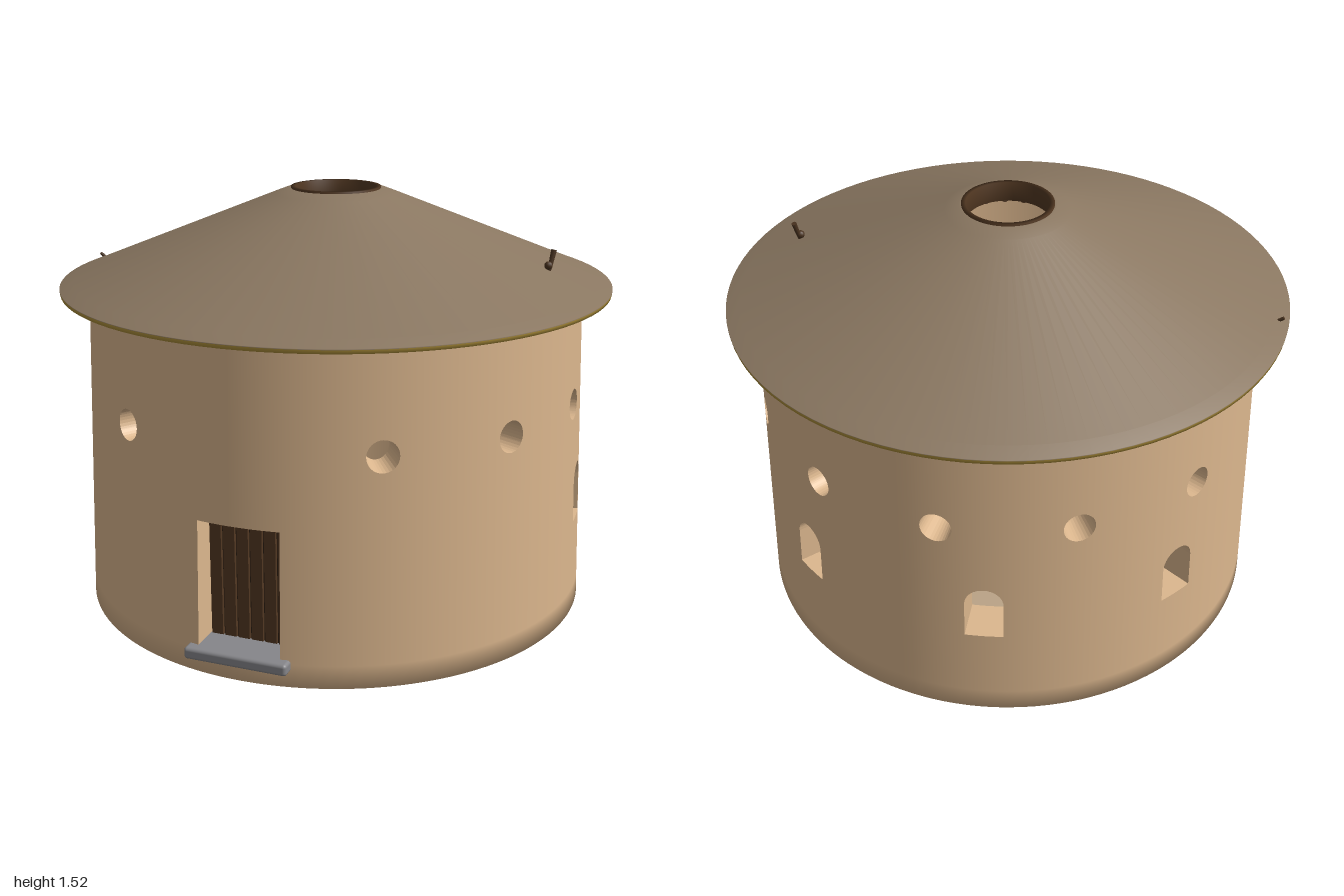
import * as THREE from 'three';
import { RoundedBoxGeometry } from 'three/addons/geometries/RoundedBoxGeometry.js';

const mat = (name, color, side = THREE.FrontSide) => {
  const m = new THREE.MeshStandardMaterial({ color, side });
  m.name = name;
  return m;
};
const D = Math.PI / 180;
const V = (x, y, z) => new THREE.Vector3(x, y, z);

// Wall measurements and openings (a: angle from the front towards +x, h: half angle)
const Y0 = 0.01, Y1 = 1.185;
const outerR = (y) => 0.93 - 0.036 * (y - Y0) / (Y1 - Y0);
const innerR = 0.775;
const arc = (t) => Math.sqrt(Math.max(0, 1 - t * t));
const door = { a: 0, h: 0.148 / 0.925, lo: () => 0.1, hi: () => 0.55 };
const openings = [door];
for (const a of [30, 60, 88, 120, 150, 180, 210, 240, 290, 330])
  openings.push({ a: a * D, h: 0.055 / 0.91, lo: (t) => 0.805 - 0.055 * arc(t), hi: (t) => 0.805 + 0.055 * arc(t) });
for (const a of [94, 145, 190, 235])
  openings.push({ a: a * D, h: 0.067 / 0.92, lo: () => 0.352, hi: (t) => 0.492 + 0.067 * arc(t) });

// Round wall made of narrow columns, each cut where an opening crosses it
function wallGeometry() {
  const pos = [], nor = [];
  const outer = (a, y) => V(Math.sin(a) * outerR(y), y, Math.cos(a) * outerR(y));
  const inner = (a, y) => {
    const b = Math.abs(a) <= door.h + 1e-6 ? Math.asin(Math.sin(a) * 0.925 / innerR) : a; // square door jambs
    return V(Math.sin(b) * innerR, y, Math.cos(b) * innerR);
  };
  const quad = (p, normalAt) => {
    const flat = p[1].clone().sub(p[0]).cross(p[2].clone().sub(p[0]));
    const other = p[2].clone().sub(p[0]).cross(p[3].clone().sub(p[0]));
    flat.add(other).normalize();
    for (const i of [0, 1, 2, 0, 2, 3]) {
      pos.push(...p[i].toArray());
      nor.push(...(normalAt ? normalAt(p[i]) : flat).toArray());
    }
  };
  const radial = (s) => (p) => V(s * p.x, 0, s * p.z).normalize();
  const outNormal = (p) => {
    const n = radial(1)(p);
    if (p.y < Y0 + 1e-4) n.y = -0.8; // soft foot
    return n.normalize();
  };
  const footNormal = (p) => {
    const n = radial(Math.hypot(p.x, p.z) > 0.85 ? 1 : -1)(p);
    n.y = -0.9;
    return n.normalize();
  };

  let angles = [];
  for (let i = -6; i <= 114; i++) angles.push(i * 3 * D);
  for (const o of openings)
    for (let k = 0; k <= 16; k++) angles.push(o.a - o.h * Math.cos(k * Math.PI / 16));
  angles = angles.sort((a, b) => a - b).filter((a, i, all) => i === 0 || a - all[i - 1] > 1e-5);

  for (let i = 0; i < angles.length - 1; i++) {
    const a = angles[i], b = angles[i + 1], mid = (a + b) / 2;
    const cuts = openings.filter((o) => Math.abs(mid - o.a) < o.h).map((o) => {
      const t0 = (a - o.a) / o.h, t1 = (b - o.a) / o.h;
      return { t0, t1, lo: [o.lo(t0), o.lo(t1)], hi: [o.hi(t0), o.hi(t1)] };
    }).sort((p, q) => p.lo[0] - q.lo[0]);

    // solid pieces between the openings
    const levels = [[Y0, Y0], [0.09, 0.09], [0.09, 0.09]];
    for (const c of cuts) levels.push(c.lo, c.hi);
    levels.push([Y1, Y1]);
    for (let k = 0; k < levels.length; k += 2) {
      const l = levels[k], h = levels[k + 1];
      quad([outer(a, l[0]), outer(b, l[1]), outer(b, h[1]), outer(a, h[0])], outNormal);
      quad([inner(b, l[1]), inner(a, l[0]), inner(a, h[0]), inner(b, h[1])], radial(-1));
    }
    quad([inner(a, Y0), inner(b, Y0), outer(b, Y0), outer(a, Y0)], footNormal);
    quad([outer(a, Y1), outer(b, Y1), inner(b, Y1), inner(a, Y1)]);

    // reveals inside the openings
    for (const c of cuts) {
      quad([outer(a, c.lo[0]), outer(b, c.lo[1]), inner(b, c.lo[1]), inner(a, c.lo[0])]);
      quad([inner(a, c.hi[0]), inner(b, c.hi[1]), outer(b, c.hi[1]), outer(a, c.hi[0])]);
      if (c.t0 < -0.999 && c.hi[0] - c.lo[0] > 0.01)
        quad([outer(a, c.lo[0]), inner(a, c.lo[0]), inner(a, c.hi[0]), outer(a, c.hi[0])]);
      if (c.t1 > 0.999 && c.hi[1] - c.lo[1] > 0.01)
        quad([inner(b, c.lo[1]), outer(b, c.lo[1]), outer(b, c.hi[1]), inner(b, c.hi[1])]);
    }
  }
  const g = new THREE.BufferGeometry();
  g.setAttribute('position', new THREE.Float32BufferAttribute(pos, 3));
  g.setAttribute('normal', new THREE.Float32BufferAttribute(nor, 3));
  return g;
}

export function createModel() {
  const model = new THREE.Group();
  model.name = 'roundhouse';
  const clay = mat('clay', 0xdcb78e);
  const roofing = mat('roofing', 0x8a7761);
  const thatch = mat('thatch', 0xb8983f, THREE.DoubleSide);
  const wood = mat('darkWood', 0x4a3320);
  const plankWood = mat('plankWood', 0x523822);
  const gapWood = mat('gapWood', 0x2e2014);
  const stone = mat('stone', 0x86868a);
  const earth = mat('earth', 0xbaa386);
  const ochre = mat('ochreStone', 0xb2964e);

  const add = (name, geo, material, x = 0, y = 0, z = 0, parent = model) => {
    const m = new THREE.Mesh(geo, material);
    m.name = name;
    m.position.set(x, y, z);
    parent.add(m);
    return m;
  };
  const pole = (name, from, to, r0, r1 = r0, parent = model) => {
    const d = to.clone().sub(from);
    const m = add(name, new THREE.CylinderGeometry(r1, r0, d.length(), 10), wood, 0, 0, 0, parent);
    m.position.copy(from).addScaledVector(d, 0.5);
    m.quaternion.setFromUnitVectors(V(0, 1, 0), d.normalize());
    return m;
  };
  const lathe = (points) => new THREE.LatheGeometry(points.map(([x, y]) => new THREE.Vector2(x, y)), 96);

  add('wall', wallGeometry(), clay);
  add('floor', lathe([[0, 0.015], [0.78, 0.015], [0.78, 0.045], [0, 0.045]]), earth);

  // Roof with a thatched eave, dark ceiling and smoke hole
  add('roof', lathe([[1, 1.181], [1, 1.184], [0.95, 1.203], [0.22, 1.499], [0.17, 1.518], [0.155, 1.515]]), roofing);
  add('eaveThatch', lathe([[0.86, 1.215], [0.97, 1.177], [0.998, 1.168], [1, 1.181]]), thatch);
  add('ceiling', lathe([[0.152, 1.46], [0.86, 1.215]]), wood);
  add('smokeHoleRing', lathe([[0.162, 1.45], [0.162, 1.523], [0.146, 1.523], [0.146, 1.45], [0.162, 1.45]]), plankWood);

  const rafters = new THREE.Group();
  rafters.name = 'rafters';
  model.add(rafters);
  for (let i = 0; i < 20; i++) {
    const s = Math.sin(i * 18 * D), c = Math.cos(i * 18 * D);
    pole('rafter', V(0.945 * s, 1.17, 0.945 * c), V(0.22 * s, 1.42, 0.22 * c), 0.019, 0.014, rafters);
  }
  pole('tieBeam', V(-0.85, 1.14, 0), V(0.85, 1.14, 0), 0.022);

  // Pegs poking through the roof
  pole('roofPeg', V(0.785, 1.25, -0.005), V(0.798, 1.338, -0.028), 0.006, 0.01);
  add('pegKnob', new THREE.SphereGeometry(0.015, 10, 8), wood, 0.785, 1.285, -0.008);
  pole('eavePeg', V(-0.9, 1.15, 0.005), V(-0.98, 1.208, 0.005), 0.006);

  // Door of upright planks and its step
  const doorGroup = new THREE.Group();
  doorGroup.name = 'door';
  model.add(doorGroup);
  add('doorBacking', new THREE.BoxGeometry(0.3, 0.46, 0.02), gapWood, 0, 0.325, 0.795, doorGroup);
  for (let i = 0; i < 6; i++)
    add('plank', new THREE.BoxGeometry(0.041, 0.455, 0.02), plankWood, -0.123 + i * 0.0492, 0.325, 0.808, doorGroup);
  add('doorStep', new RoundedBoxGeometry(0.37, 0.042, 0.15, 3, 0.012), stone, -0.003, 0.085, 0.877);

  // Hearth below the smoke hole
  add('hearthSlab', new THREE.CylinderGeometry(0.24, 0.24, 0.02, 40), stone, 0, 0.053, 0);
  for (let i = 0; i < 10; i++) {
    const a = (i + 0.5) * 36 * D;
    const s = add('hearthStone', new THREE.SphereGeometry(0.028, 12, 8), i % 3 === 1 ? ochre : stone, 0.085 * Math.sin(a), 0.075, 0.085 * Math.cos(a));
    s.scale.y = 0.8;
  }
  const embers = add('hearthRing', new THREE.TorusGeometry(0.042, 0.009, 8, 24), ochre, 0, 0.075, 0);
  embers.rotation.x = Math.PI / 2;
  for (let i = 0; i < 3; i++) {
    const x = 0.05 * Math.cos(i * 60 * D), z = 0.05 * Math.sin(i * 60 * D), y = 0.075 + i * 0.01;
    pole('hearthLog', V(-x, y, -z), V(x, y, z), 0.009);
  }
  const hoop = add('potRing', new THREE.TorusGeometry(0.022, 0.007, 8, 20), ochre, -0.11, 0.3, -0.05);
  hoop.rotation.x = Math.PI / 2;

  // Short post through the floor, a leaning pole and an upright stand
  pole('floorPost', V(-0.44, 0, -0.56), V(-0.44, 0.3, -0.56), 0.028);
  pole('leaningPole', V(-0.4, 0.04, -0.1), V(-0.72, 0.9, -0.02), 0.014);
  pole('uprightStand', V(-0.45, 0.04, -0.11), V(-0.45, 0.53, -0.1), 0.016);
  return model;
}
